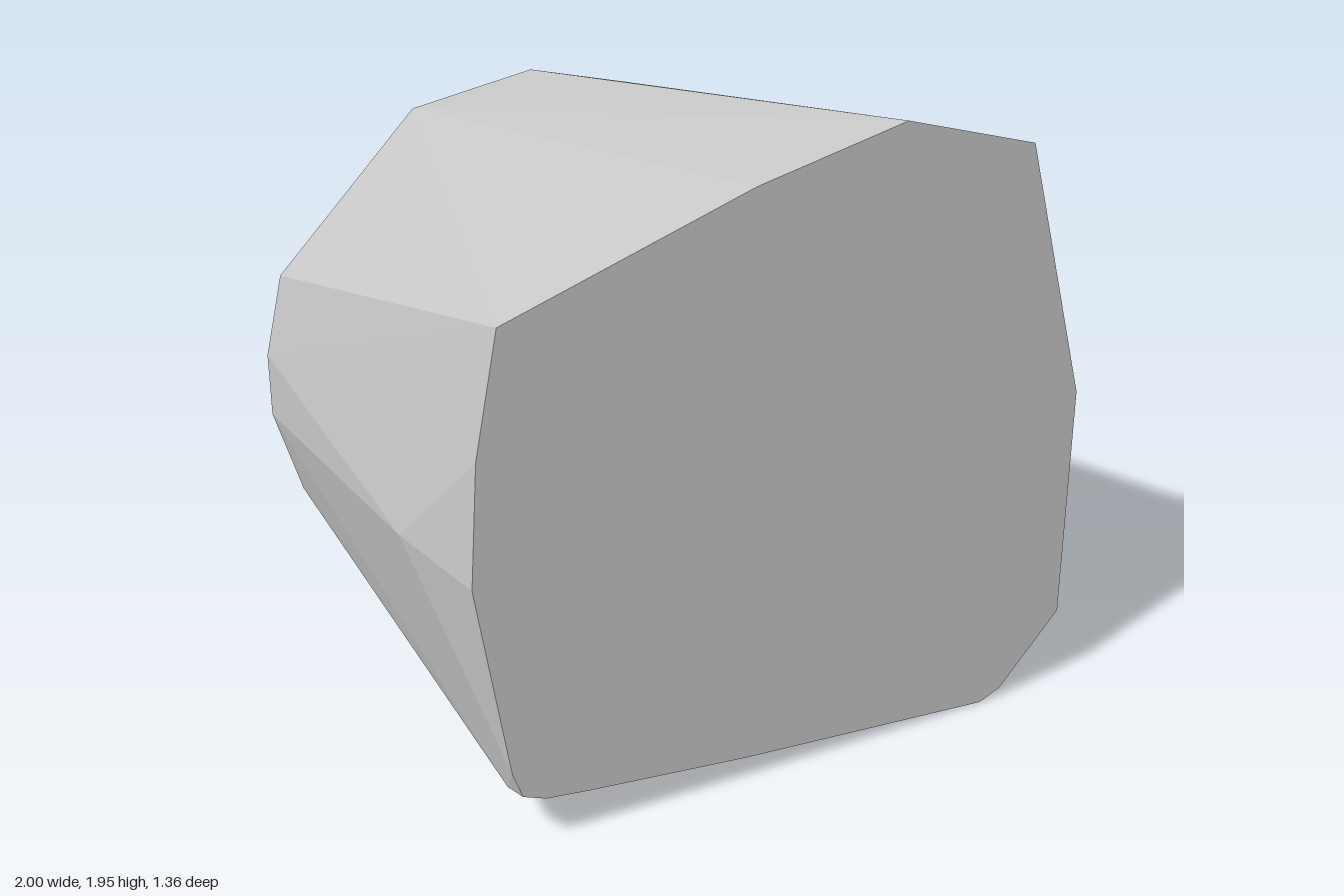
import * as THREE from 'three';
import { ConvexGeometry } from 'three/addons/geometries/ConvexGeometry.js';

const HALF_DEPTH = 0.68;

// Outline of the large front face, clockwise from the upper corner on -x
const frontOutline = [
  [-0.84, 1.61], [-0.1, 1.845], [0.36, 1.945], [0.78, 1.81], [1, 1], [1, 0.25],
  [0.8, 0.03], [0.73, 0], [-0.1, 0.075], [-0.6, 0.135], [-0.74, 0.155],
  [-0.81, 0.185], [-0.84, 0.27], [-0.935, 0.88], [-0.91, 1.25],
];

// Outline of the rounder, smaller back face
const backOutline = [
  [-0.94, 1.25], [-0.49, 1.7], [-0.1, 1.76], [0.22, 1.67], [0.42, 1.54],
  [0.69, 1.25], [0.74, 0.88], [0.68, 0.565], [0.22, 0.1], [-0.11, 0.01],
  [-0.49, 0.065], [-0.77, 0.32], [-0.92, 0.52], [-1, 0.8], [-1, 1],
];

// Extra corners on the sides, between the two faces
const sideCorners = [
  [-0.99, 0.88, 0.32], [-0.82, 0.17, 0.6], [1, 0.9, 0.62], [1, 0.42, 0.6],
];

const atDepth = (outline, z) => outline.map(([x, y]) => new THREE.Vector3(x, y, z));

export function createModel() {
  const group = new THREE.Group();
  group.name = 'facetedBlock';

  const gray = new THREE.MeshStandardMaterial({ color: 0xc8c8c8 });
  gray.name = 'light gray';

  // The solid is the convex skin stretched over both outlines
  const points = [
    ...atDepth(frontOutline, HALF_DEPTH),
    ...atDepth(backOutline, -HALF_DEPTH),
    ...sideCorners.map((p) => new THREE.Vector3(...p)),
  ];
  const block = new THREE.Mesh(new ConvexGeometry(points), gray);
  block.name = 'block';
  group.add(block);

  return group;
}
